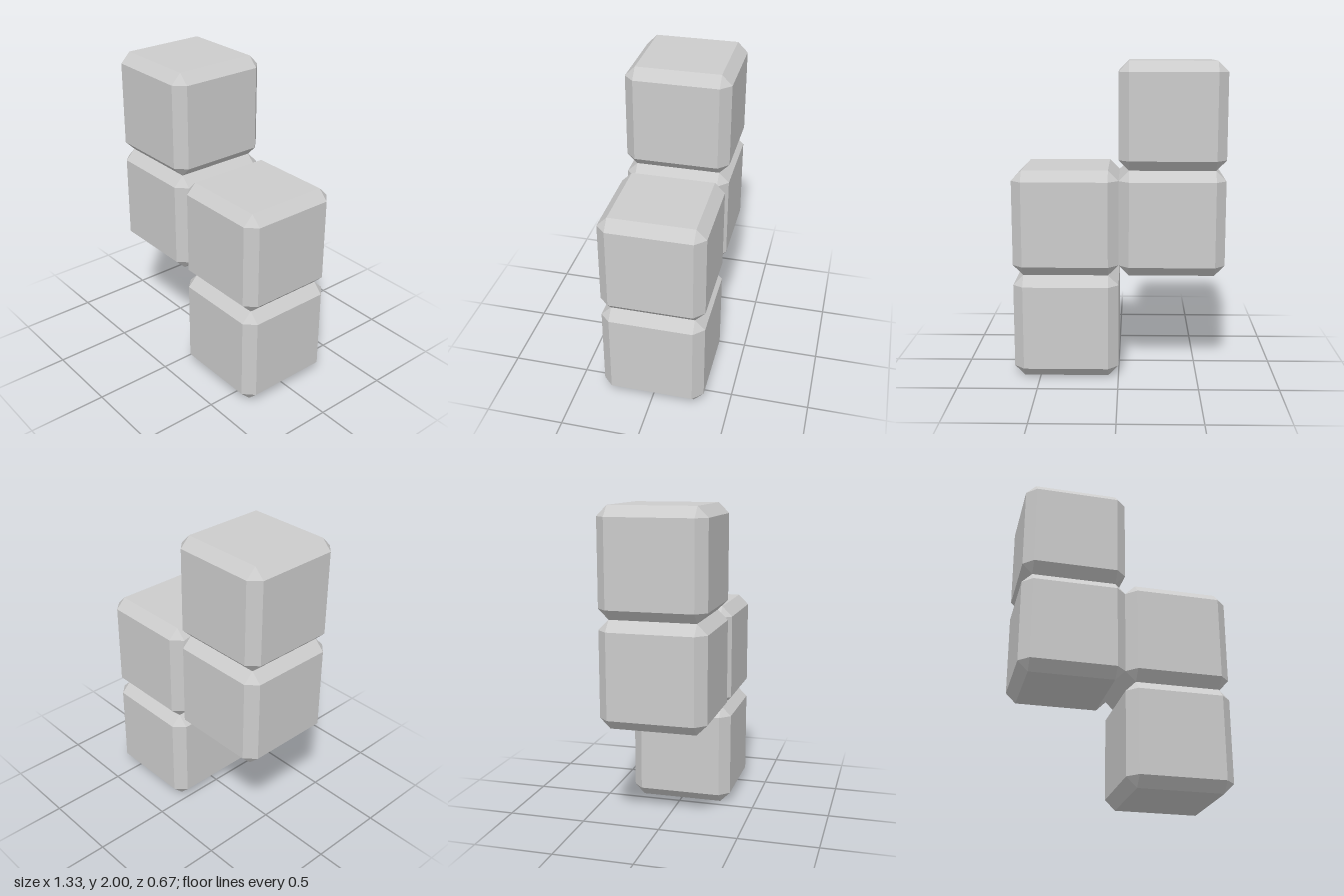
import * as THREE from 'three';
import { ConvexGeometry } from 'three/addons/geometries/ConvexGeometry.js';

const SIZE = 2 / 3;
const BEVEL = 0.065;

// Cube with flat chamfered edges and triangular corner facets
function chamferedCube(size, bevel) {
  const h = size / 2;
  const i = h - bevel;
  const points = [];
  for (const x of [-1, 1]) for (const y of [-1, 1]) for (const z of [-1, 1]) {
    points.push(
      new THREE.Vector3(x * h, y * i, z * i),
      new THREE.Vector3(x * i, y * h, z * i),
      new THREE.Vector3(x * i, y * i, z * h)
    );
  }
  return new ConvexGeometry(points);
}

export function createModel() {
  const model = new THREE.Group();
  model.name = 'zigzagBlock';
  const material = new THREE.MeshStandardMaterial({ color: 0xcccccc, flatShading: true });
  const geometry = chamferedCube(SIZE, BEVEL);

  // Column (-1 or 1 half cells from the centre) and row (from the ground) of each cube
  const cells = [
    ['lowerLeftCube', 1, 0],
    ['middleLeftCube', 1, 1],
    ['middleRightCube', -1, 1],
    ['upperRightCube', -1, 2],
  ];
  for (const [name, column, row] of cells) {
    const cube = new THREE.Mesh(geometry, material);
    cube.name = name;
    cube.position.set(column * SIZE / 2, (row + 0.5) * SIZE, 0);
    model.add(cube);
  }
  return model;
}
